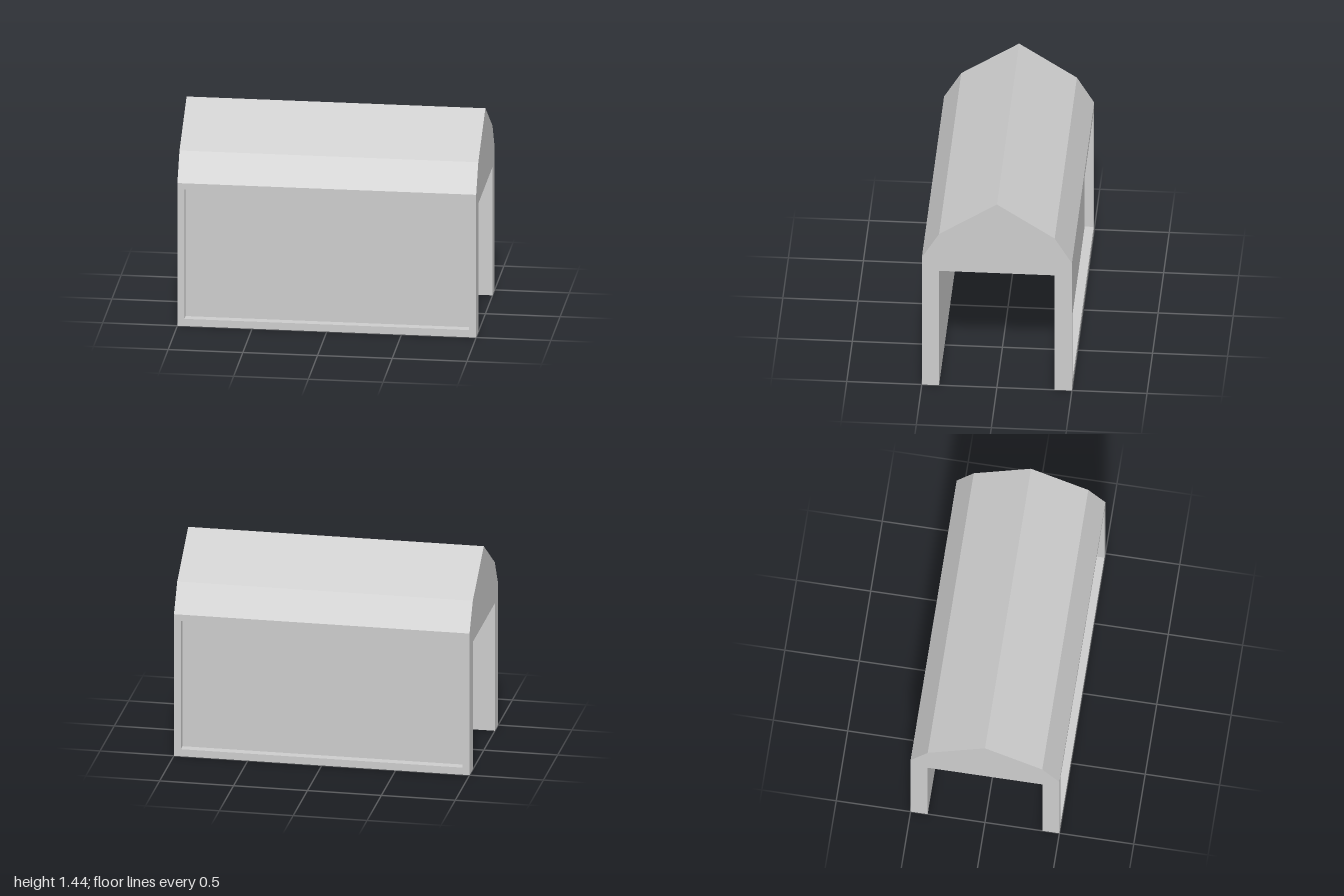
import * as THREE from 'three';

const LENGTH = 2, HALF_DEPTH = 0.5, EAVE = 1.0, RECESS = 0.06;

// Flat-faced extrusion of a 2D outline with no bevel
function extrude(shape, depth) {
  return new THREE.ExtrudeGeometry(shape, { depth, bevelEnabled: false });
}

function rectPoints(x0, y0, x1, y1) {
  return [[x0, y0], [x1, y0], [x1, y1], [x0, y1]].map(([x, y]) => new THREE.Vector2(x, y));
}

export function createModel() {
  const group = new THREE.Group();
  const grey = new THREE.MeshStandardMaterial({ color: 0xcccccc });
  grey.name = 'light grey';

  // Arch-shaped body: two walls joined by a faceted gable roof
  const face = HALF_DEPTH - RECESS;
  const half = [
    [0.385, 0.9], [0.385, 0], [face, 0], [face, EAVE],
    [HALF_DEPTH, EAVE], [0.385, 1.19],
  ];
  const mirrored = half.map(([z, y]) => [-z, y]).reverse();
  const profile = [...half, [0, 1.44], ...mirrored];
  const bodyGeometry = extrude(new THREE.Shape(profile.map(([z, y]) => new THREE.Vector2(z, y))), LENGTH);
  bodyGeometry.translate(0, 0, -LENGTH / 2).rotateY(Math.PI / 2);
  const body = new THREE.Mesh(bodyGeometry, grey);
  body.name = 'wallsAndRoof';
  group.add(body);

  // Raised rims that leave a recessed panel on the front and back walls
  const rim = new THREE.Shape(rectPoints(-LENGTH / 2, 0, LENGTH / 2, EAVE));
  rim.holes.push(new THREE.Path(rectPoints(-0.953, 0.05, 0.953, 0.957).reverse()));
  const rimGeometry = extrude(rim, RECESS).translate(0, 0, face);
  for (const [name, angle] of [['frontPanelFrame', 0], ['backPanelFrame', Math.PI]]) {
    const frame = new THREE.Mesh(rimGeometry, grey);
    frame.name = name;
    frame.rotation.y = angle;
    group.add(frame);
  }

  return group;
}
